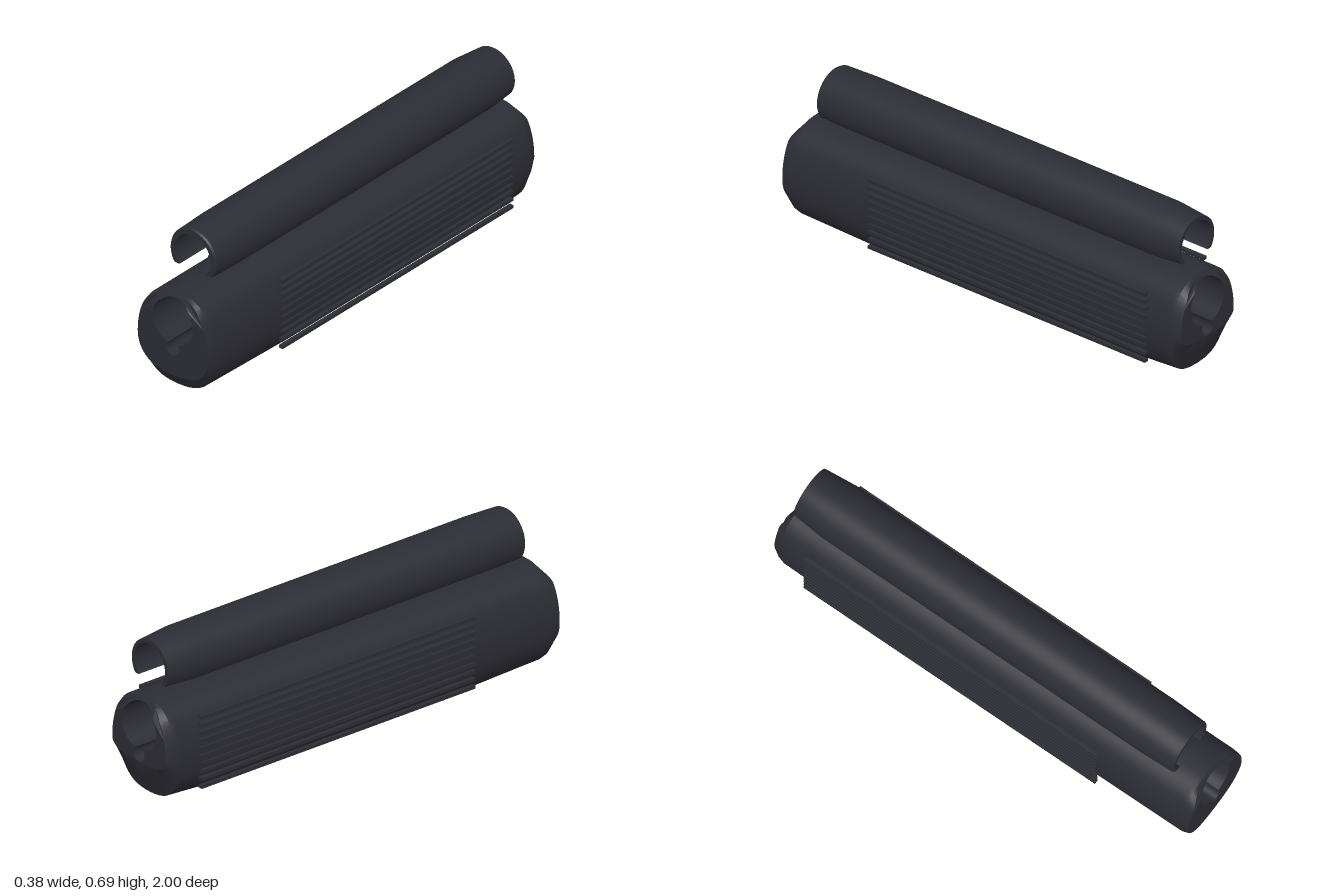
import * as THREE from 'three';
import { toCreasedNormals, mergeGeometries } from 'three/addons/utils/BufferGeometryUtils.js';

const V2 = (x, y) => new THREE.Vector2(x, y);

// Skin through closed rings of Vector3, ordered from back to front
function loft(rings) {
  const n = rings[0].length, pos = [], index = [];
  rings.forEach(r => r.forEach(p => pos.push(p.x, p.y, p.z)));
  for (let i = 0; i < rings.length - 1; i++) {
    for (let j = 0; j < n; j++) {
      const k = (j + 1) % n, a = i * n + j, b = i * n + k;
      index.push(a, b, b + n, a, b + n, a + n);
    }
  }
  const g = new THREE.BufferGeometry();
  g.setAttribute('position', new THREE.Float32BufferAttribute(pos, 3));
  g.setIndex(index);
  return g;
}

// End face with optional hole; depth follows a rule of y
function endFace(outline, hole, zAt, facesBack) {
  const shape = new THREE.Shape(outline);
  if (hole) shape.holes.push(new THREE.Path(hole));
  const g = new THREE.ShapeGeometry(shape);
  const p = g.attributes.position;
  for (let i = 0; i < p.count; i++) p.setZ(i, zAt(p.getY(i)));
  if (facesBack) g.index.array.reverse();
  g.deleteAttribute('uv');
  g.deleteAttribute('normal');
  return g;
}

function finish(parts, angle) {
  return toCreasedNormals(mergeGeometries(parts), angle);
}

function arc(cx, cy, r, from, to, steps) {
  return Array.from({ length: steps + 1 }, (_, i) => {
    const t = from + (to - from) * i / steps;
    return V2(cx + r * Math.cos(t), cy + r * Math.sin(t));
  });
}

const lift = (pts, zAt) => pts.map(p => new THREE.Vector3(p.x, p.y, zAt(p.y)));

// Lower body: rounded section, lengthwise keyhole bore, bevelled ends
function bodyGeometry() {
  const MID = 0.22, TOP = 0.443;
  const half = new THREE.SplineCurve([
    V2(0, 0), V2(0.05, 0.004), V2(0.1, 0.021), V2(0.142, 0.06), V2(0.168, 0.115),
    V2(0.179, 0.165), V2(0.182, 0.22), V2(0.178, 0.275), V2(0.165, 0.332),
    V2(0.141, 0.384), V2(0.1, 0.421), V2(0.05, 0.44), V2(0, TOP),
  ]).getPoints(36);
  const profile = [...half, ...half.slice(1, -1).reverse().map(p => V2(-p.x, p.y))];
  const section = (bottom, top, sx) => profile.map(p => V2(p.x * sx,
    p.y < MID ? MID - (MID - p.y) * (MID - bottom) / MID
      : MID + (p.y - MID) * (top - MID) / (TOP - MID)));
  const slope = y => 1 - Math.max(0, y - 0.38) * 0.5;
  const frontZ = y => slope(y), backZ = y => -slope(y);

  const backOutline = section(0.165, 0.432, 0.89);
  const frontOutline = section(0.08, 0.43, 0.985);
  const rings = [
    lift(backOutline, backZ),
    ...[[-0.968, 0.09, 0.443, 0.99], [-0.945, 0.02, 0.443, 1], [-0.7, 0.002, 0.443, 1],
      [0.49, 0.002, 0.443, 1], [0.95, 0.018, 0.443, 1], [0.968, 0.026, 0.443, 1]]
      .map(([z, b, t, s]) => lift(section(b, t, s), () => z)),
    lift(frontOutline, frontZ),
  ];

  // Large round channel joined to a small groove below it
  const a = Math.asin(0.025 / 0.102), s = Math.asin(0.025 / 0.033);
  const bore = [
    ...arc(0, 0.32, 0.102, -Math.PI / 2 + a, Math.PI * 1.5 - a, 40),
    ...arc(0, 0.2, 0.033, Math.PI / 2 + s, Math.PI * 2.5 - s, 14),
  ];
  const inner = bore.slice().reverse();
  return finish([
    loft(rings),
    loft([lift(inner, backZ), lift(inner, frontZ)]),
    endFace(frontOutline, inner, frontZ, false),
    endFace(backOutline, inner, backZ, true),
  ], 0.45);
}

// Upper cover: open tube cut flat underneath, tapering at both ends
function coverGeometry() {
  const CY = 0.568, DROP = 0.063, INNER = 0.092;
  const section = r => {
    const o = Math.asin(DROP / r), i = Math.asin(DROP / INNER);
    return [
      ...arc(0, CY, r, -o, Math.PI + o, 40),
      ...arc(0, CY, INNER, Math.PI + i, -i, 36),
    ];
  };
  const stations = [[-0.945, 0.109], [-0.8, 0.122], [0.72, 0.122], [0.872, 0.117], [0.88, 0.112]];
  return finish([
    loft(stations.map(([z, r]) => lift(section(r), () => z))),
    endFace(section(0.112), null, () => 0.88, false),
    endFace(section(0.109), null, () => -0.945, true),
  ], 0.45);
}

export function createModel() {
  const model = new THREE.Group();
  model.name = 'handguard';
  const polymer = new THREE.MeshStandardMaterial({ color: 0x2c2c34 });
  polymer.name = 'dark polymer';

  const add = (parent, geometry, name) => {
    const mesh = new THREE.Mesh(geometry, polymer);
    mesh.name = name;
    parent.add(mesh);
    return mesh;
  };

  add(model, bodyGeometry(), 'lowerBody');
  add(model, coverGeometry(), 'upperCover');

  // Ten long grip ribs on each side
  const rib = new THREE.BoxGeometry(0.019, 0.013, 1.4);
  for (const side of [1, -1]) {
    const ribs = new THREE.Group();
    ribs.name = side > 0 ? 'leftGripRibs' : 'rightGripRibs';
    for (let i = 0; i < 10; i++) {
      add(ribs, rib, 'gripRib').position.set(side * 0.181, 0.075 + i * 0.0333, -0.14);
    }
    model.add(ribs);
  }
  return model;
}
